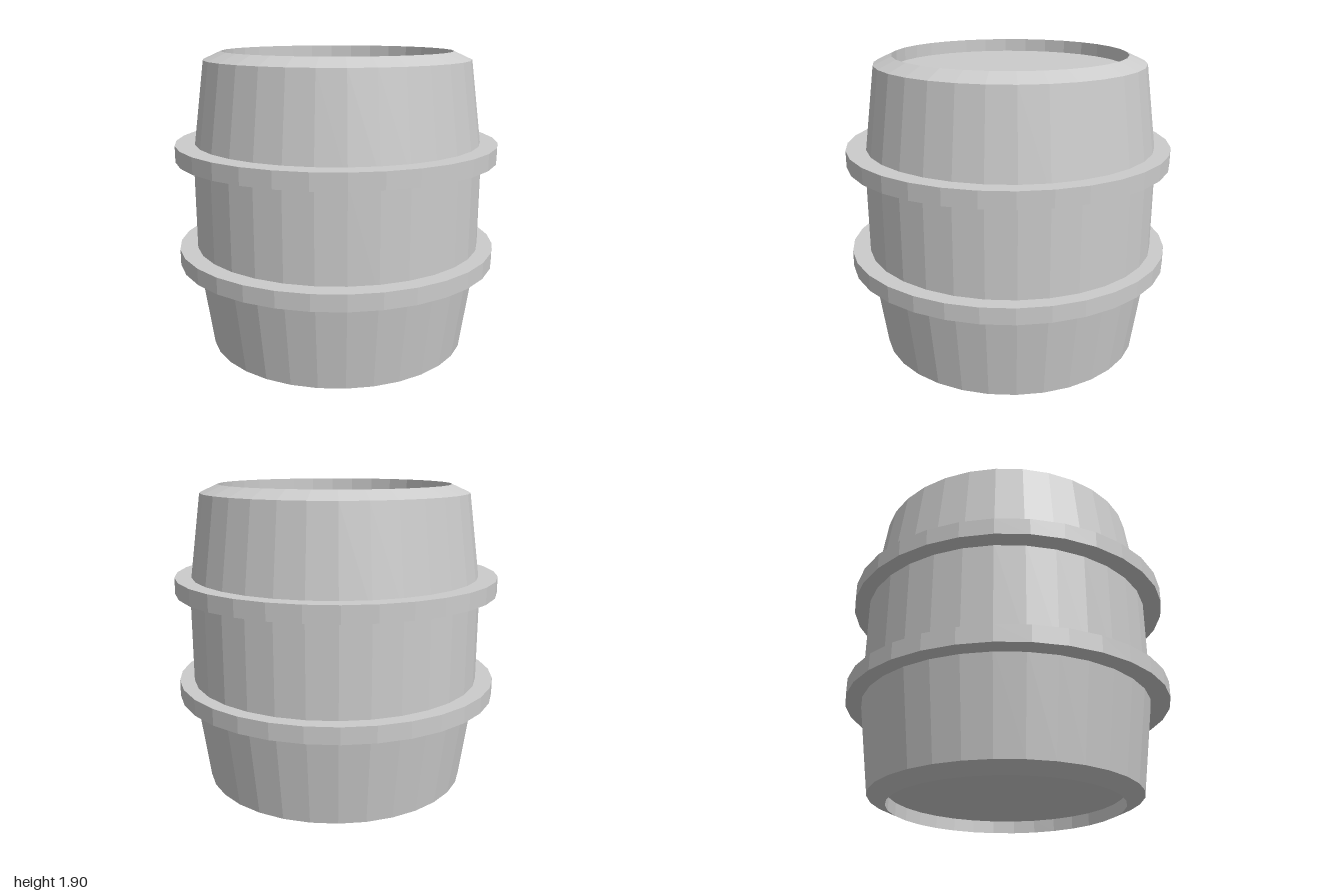
import * as THREE from 'three';

const SIDES = 32;
const material = new THREE.MeshStandardMaterial({ color: 0xcccccc, flatShading: true });

// Faceted solid of revolution; the profile runs bottom to top on the outside
function turned(name, profile) {
  const points = profile.map(([r, y]) => new THREE.Vector2(r, y));
  const mesh = new THREE.Mesh(new THREE.LatheGeometry(points, SIDES), material);
  mesh.name = name;
  return mesh;
}

export function createModel() {
  const group = new THREE.Group();
  group.name = 'barrel';

  // Body: recessed lids, bevelled rims, tapered ends and a straight waist
  const height = 1.9;
  const lower = [[0, 0.08], [0.71, 0.08], [0.71, 0], [0.82, 0.05], [0.9, 0.63]];
  const upper = lower.map(([r, y]) => [r, height - y]).reverse();
  const body = turned('body', [...lower, ...upper]);
  body.position.set(0.01, 0, -0.01);
  group.add(body);

  // Two hoops, wrapped around the body
  const hoopProfile = [[0.86, -0.05], [1, -0.05], [1, 0.05], [0.86, 0.05], [0.86, -0.05]];
  for (const [name, y] of [['lowerHoop', 0.65], ['upperHoop', 1.3]]) {
    const hoop = turned(name, hoopProfile);
    hoop.position.y = y;
    group.add(hoop);
  }

  return group;
}
